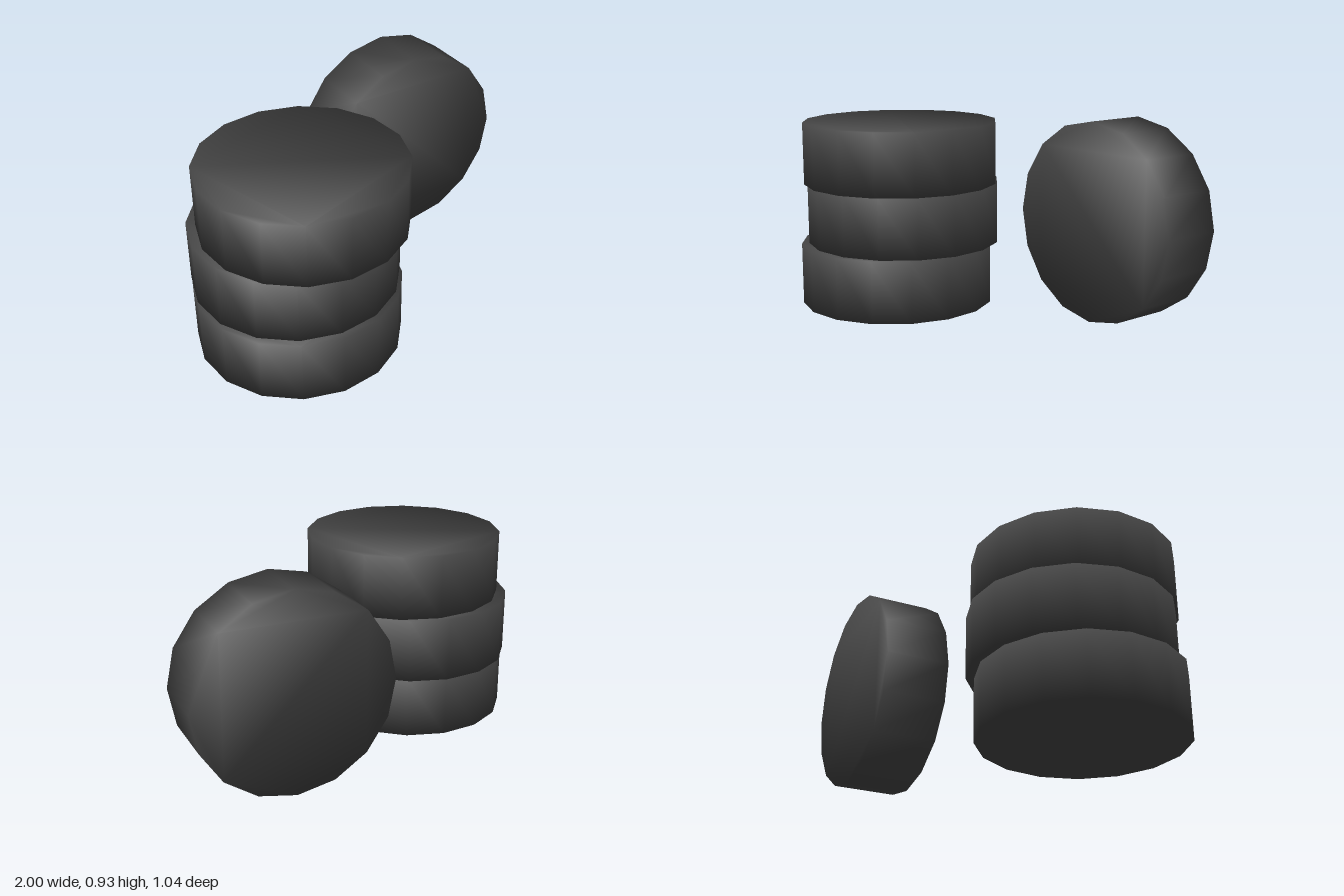
import * as THREE from 'three';

const RADIUS = 0.466, WIDTH = 0.297, SIDES = 16;

// Solid 16-sided tyre along z, with normals blended over the rim
function tyreGeometry() {
  const points = [];
  for (let i = 0; i < SIDES; i++) {
    const a = (i / SIDES) * Math.PI * 2;
    points.push(new THREE.Vector2(Math.cos(a) * RADIUS, Math.sin(a) * RADIUS));
  }
  const geometry = new THREE.ExtrudeGeometry(new THREE.Shape(points), { depth: WIDTH, bevelEnabled: false });
  geometry.translate(0, 0, -WIDTH / 2);
  geometry.clearGroups();

  // Every rim corner leans halfway between the tread and the flat side
  const position = geometry.attributes.position;
  const normal = geometry.attributes.normal;
  const n = new THREE.Vector3();
  for (let i = 0; i < position.count; i++) {
    n.set(position.getX(i) / RADIUS, position.getY(i) / RADIUS, Math.sign(position.getZ(i))).normalize();
    normal.setXYZ(i, n.x, n.y, n.z);
  }
  return geometry;
}

export function createModel() {
  const model = new THREE.Group();
  model.name = 'tyrePile';
  const rubber = new THREE.MeshStandardMaterial({ color: 0x444444 });
  rubber.name = 'darkRubber';
  const geometry = tyreGeometry();

  const addTyre = (name, x, y, z) => {
    const tyre = new THREE.Mesh(geometry, rubber);
    tyre.name = name;
    tyre.position.set(x, y, z);
    model.add(tyre);
    return tyre;
  };

  // Three tyres lying in a slightly uneven stack
  const stack = [
    ['bottomTyre', -0.534, 0.04],
    ['middleTyre', -0.513, 0.01],
    ['topTyre', -0.495, 0.053],
  ];
  stack.forEach(([name, x, z], i) => {
    addTyre(name, x, WIDTH * (i + 0.5), z).rotation.x = -Math.PI / 2;
  });

  // One tyre standing upright beside the stack, turned a little
  addTyre('standingTyre', 0.511, RADIUS, -0.243).rotation.y = -0.3;

  return model;
}
